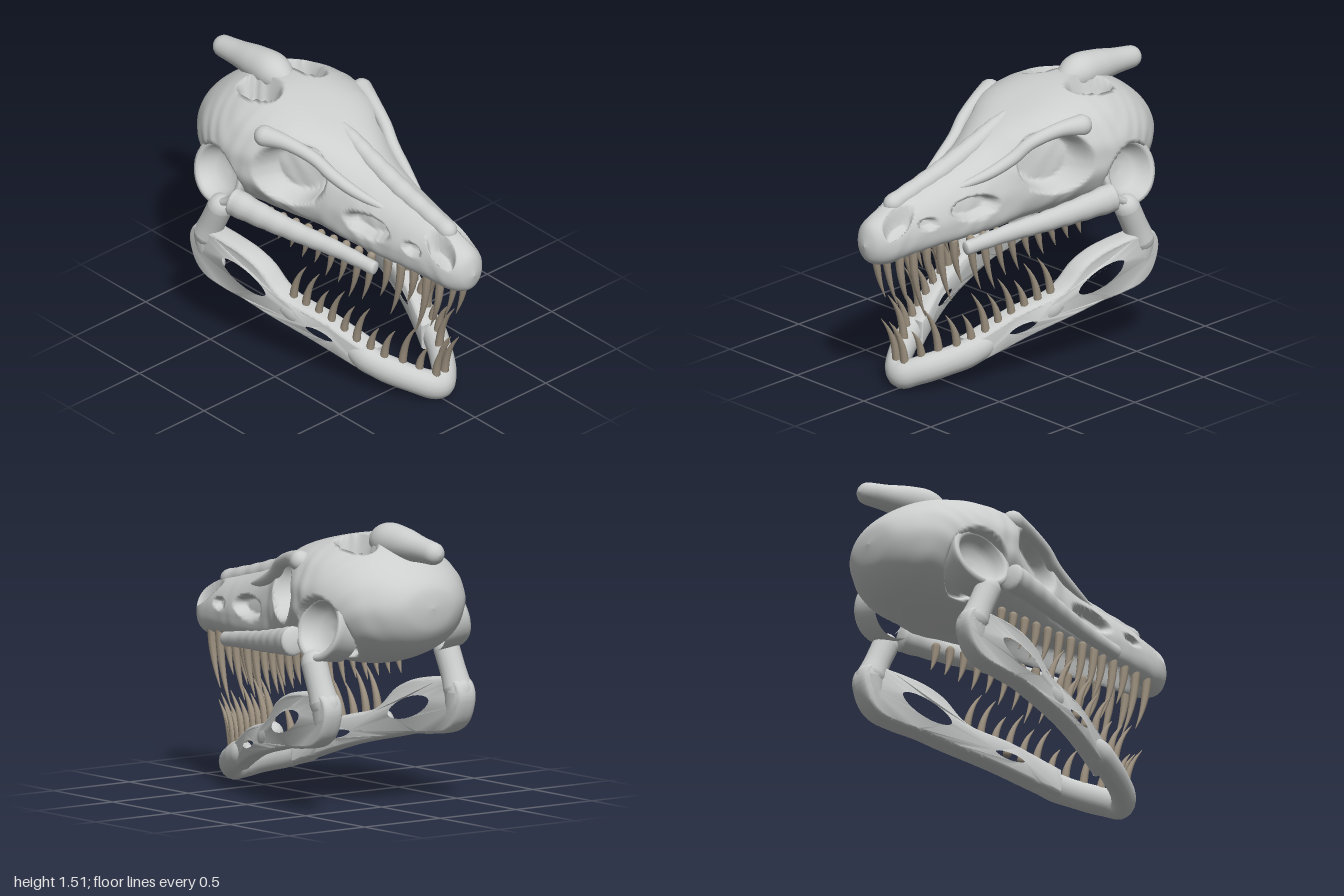
import * as THREE from 'three';
import { toCreasedNormals } from 'three/addons/utils/BufferGeometryUtils.js';

const bone = new THREE.MeshStandardMaterial({ name: 'bone grey', color: 0xcbcecd });
const ivory = new THREE.MeshStandardMaterial({ name: 'tooth brown', color: 0x9e9281 });
const V = (x, y, z) => new THREE.Vector3(x, y, z);
const clamp = THREE.MathUtils.clamp;

// Skin over a list of closed rings (arrays of Vector3)
function loft(rings) {
  const n = rings[0].length, pos = [], idx = [];
  rings.forEach(r => r.forEach(p => pos.push(p.x, p.y, p.z)));
  for (let i = 0; i < rings.length - 1; i++) {
    for (let j = 0; j < n; j++) {
      const a = i * n + j, b = i * n + (j + 1) % n;
      idx.push(a, a + n, b, b, a + n, b + n);
    }
  }
  const g = new THREE.BufferGeometry();
  g.setAttribute('position', new THREE.Float32BufferAttribute(pos, 3));
  g.setIndex(idx);
  g.computeVertexNormals();
  return g;
}

// Smooth interpolation through rows of numbers, t in 0..1
function sampleRows(rows, t) {
  const f = t * (rows.length - 1), i = Math.min(Math.floor(f), rows.length - 2), u = f - i;
  const row = k => rows[clamp(k, 0, rows.length - 1)];
  return rows[0].map((_, c) => {
    const a = row(i - 1)[c], b = row(i)[c], d = row(i + 1)[c], e = row(i + 2)[c];
    const m0 = (d - a) / 2, m1 = (e - b) / 2;
    return b + m0 * u + (3 * (d - b) - 2 * m0 - m1) * u * u + (2 * (b - d) + m0 + m1) * u * u * u;
  });
}

// Round-ended limb through points [x, y, z, radius]; flat narrows it sideways, cap flattens its ends
function limb(pts, { sides = 16, steps = 32, flat = 1, cap = 1, up = V(0, 1, 0), lump = 0, waves = 8 } = {}) {
  const rings = [];
  const ring = (t, ext, scale) => {
    const [x, y, z, r0] = sampleRows(pts, t);
    const r = Math.max(r0, 0.001) * (1 + lump * Math.sin(t * waves * 6.28));
    const p = sampleRows(pts, Math.max(0, t - 0.01)), q = sampleRows(pts, Math.min(1, t + 0.01));
    const T = V(q[0] - p[0], q[1] - p[1], q[2] - p[2]).normalize();
    const S = T.clone().cross(up).normalize(), U = S.clone().cross(T);
    const c = V(x, y, z).addScaledVector(T, ext * r * cap);
    rings.push(Array.from({ length: sides }, (_, j) => {
      const a = j / sides * Math.PI * 2;
      return c.clone().addScaledVector(S, Math.cos(a) * r * scale * flat).addScaledVector(U, Math.sin(a) * r * scale);
    }));
  };
  for (let k = 5; k > 0; k--) ring(0, -Math.sin(k * 0.314), Math.cos(k * 0.314));
  for (let i = 0; i <= steps; i++) ring(i / steps, 0, 1);
  for (let k = 1; k <= 5; k++) ring(1, Math.sin(k * 0.314), Math.cos(k * 0.314));
  return loft(rings);
}

// Cranium sections: z, half width, top, bottom, widest height, upper and lower roundness
const sections = [
  [1.0, 0, 0.87, 0.87, 0.87, 1, 1],
  [0.97, 0.075, 0.97, 0.78, 0.87, 1, 1],
  [0.9, 0.128, 1.02, 0.75, 0.88, 1, 0.9],
  [0.8, 0.148, 1.06, 0.76, 0.89, 1, 0.8],
  [0.6, 0.178, 1.11, 0.78, 0.9, 1.05, 0.65],
  [0.4, 0.205, 1.16, 0.78, 0.91, 1, 0.6],
  [0.2, 0.235, 1.23, 0.78, 0.94, 0.9, 0.65],
  [0.05, 0.28, 1.31, 0.78, 1.0, 0.75, 0.8],
  [-0.1, 0.36, 1.37, 0.78, 1.05, 0.66, 0.9],
  [-0.25, 0.42, 1.415, 0.77, 1.08, 0.78, 1],
  [-0.4, 0.452, 1.44, 0.76, 1.1, 0.93, 1],
  [-0.55, 0.44, 1.43, 0.77, 1.1, 1, 1],
  [-0.7, 0.388, 1.38, 0.81, 1.1, 1, 1],
  [-0.83, 0.29, 1.3, 0.87, 1.1, 1, 1],
  [-0.915, 0.17, 1.21, 0.97, 1.1, 1, 1],
  [-0.94, 0, 1.1, 1.1, 1.1, 1, 1],
];

// Hollows seen from the side: z, y, radius z, radius y, depth
const sideHollows = [
  [-0.08, 1.13, 0.19, 0.17, 0.14], [0.38, 0.97, 0.15, 0.06, 0.07],
  [0.68, 0.95, 0.055, 0.03, 0.04], [-0.52, 0.98, 0.17, 0.17, 0.13],
];
// Hollows seen from above: x, z, radius x, radius z, depth
const topHollows = [[0.16, -0.49, 0.08, 0.15, 0.13], [0.09, 0.84, 0.045, 0.1, 0.09]];

const dent = (du, dv) => 1 - THREE.MathUtils.smoothstep(Math.hypot(du, dv), 0.75, 1);

function craniumGeometry() {
  const rings = [], N = 170, M = 120;
  for (let i = 0; i <= N; i++) {
    const [z, w, top, bot, mid, eu, el] = sampleRows(sections, i / N), ring = [];
    for (let j = 0; j < M; j++) {
      const a = j / M * Math.PI * 2, c = Math.cos(a), s = Math.sin(a), e = s > 0 ? eu : el;
      const x = Math.max(w, 0) * Math.sign(c) * Math.abs(c) ** e;
      const y = mid + (s > 0 ? top - mid : bot - mid) * Math.abs(s) ** e;
      const p = V(x, y, z);
      // gentle bony unevenness
      p.x *= 1 + 0.01 * Math.sin(z * 31 + y * 17) * Math.sin(y * 27 + 3 * Math.cos(z * 13));
      for (const [hz, hy, rz, ry, d] of sideHollows) {
        p.x -= Math.sign(x) * Math.min(d, Math.abs(x) * 0.7) * dent((z - hz) / rz, (y - hy) / ry);
      }
      if (s > 0) {
        for (const [hx, hz, rx, rz, d] of topHollows) p.y -= d * dent((Math.abs(x) - hx) / rx, (z - hz) / rz);
      } else if (y < mid - 0.04) {
        // hollow palate
        p.y += 0.13 * dent(x / (Math.max(w, 0.01) * 0.8), (z - 0.38) / 0.5);
      }
      ring.push(p);
    }
    rings.push(ring);
  }
  return loft(rings);
}

// Rear jaw plate: side profile (z, y) with two windows, bent outward toward the hinge
function jawPlate(s) {
  const outline = [[0.2, 0.2], [0.04, 0.25], [-0.15, 0.295], [-0.28, 0.325], [-0.42, 0.34], [-0.55, 0.365],
    [-0.63, 0.43], [-0.67, 0.54], [-0.655, 0.62], [-0.6, 0.66], [-0.5, 0.65], [-0.4, 0.64], [-0.28, 0.615],
    [-0.17, 0.56], [-0.08, 0.47], [0, 0.425], [0.2, 0.37], [0.45, 0.25]];
  const shape = new THREE.Shape().moveTo(0.45, 0.1);
  shape.splineThru(outline.map(p => new THREE.Vector2(...p)));
  shape.holes.push(new THREE.Path().absellipse(-0.28, 0.47, 0.172, 0.07, 0, Math.PI * 2, true, -0.36));
  shape.holes.push(new THREE.Path().absellipse(0.18, 0.284, 0.098, 0.038, 0, Math.PI * 2, true, -0.26));
  const g = new THREE.ExtrudeGeometry(shape, { depth: 0.03, bevelThickness: 0.045, bevelSize: 0.018,
    bevelOffset: -0.018, bevelSegments: 4, curveSegments: 12 });
  const p = g.attributes.position;
  for (let i = 0; i < p.count; i++) {
    const z = p.getX(i);
    p.setXYZ(i, s * (0.35 - 0.27 * z - 0.2 * z * z) - (p.getZ(i) - 0.015), p.getY(i), z);
  }
  g.deleteAttribute('uv');
  return toCreasedNormals(g, 1);
}

export function createModel() {
  const model = new THREE.Group();
  const add = (name, geo, mat = bone) => {
    const m = new THREE.Mesh(geo, mat);
    m.name = name;
    model.add(m);
    return m;
  };

  add('cranium', craniumGeometry());
  add('snoutRidge', limb([[0, 1.055, 0.79, 0.05], [0, 1.1, 0.6, 0.05], [0, 1.15, 0.4, 0.055],
    [0, 1.22, 0.2, 0.05], [0, 1.285, 0.05, 0.04], [0, 1.325, -0.06, 0.025]],
  { steps: 70, lump: 0.03, waves: 9 }));
  add('crestHorn', limb([[0, 1.37, -0.46, 0.06], [0, 1.41, -0.55, 0.096], [0, 1.41, -0.68, 0.09],
    [0, 1.4, -0.82, 0.07], [0, 1.39, -0.94, 0.06]], { sides: 24 }));

  // Front of the lower jaw, one V-shaped bar across both sides
  const arm = [[0.08, 0.105, 0.675, 0.076], [0.19, 0.16, 0.5, 0.077], [0.235, 0.2, 0.385, 0.074],
    [0.26, 0.225, 0.3, 0.035]];
  add('jawFront', limb([...arm.map(([x, ...r]) => [-x, ...r]).reverse(), [0, 0.078, 0.73, 0.077], ...arm],
    { flat: 0.85, steps: 64, lump: 0.015 }));

  for (const s of [1, -1]) {
    const side = s > 0 ? 'left' : 'right';
    const part = (name, pts, opt) => add(side + name, limb(pts.map(([x, ...r]) => [x * s, ...r]), opt));

    // Brow, cheek and ear
    part('BrowRidge', [[0.12, 1.075, 0.44, 0.015], [0.175, 1.12, 0.27, 0.03], [0.215, 1.18, 0.13, 0.035],
      [0.25, 1.25, 0.03, 0.035], [0.3, 1.295, -0.12, 0.04], [0.342, 1.3, -0.25, 0.058]]);
    part('CheekBar', [[0.253, 0.793, 0.5, 0.038], [0.3, 0.82, 0.27, 0.046], [0.365, 0.845, 0.05, 0.055],
      [0.425, 0.875, -0.16, 0.066], [0.468, 0.902, -0.35, 0.079]],
    { steps: 60, cap: 0.3, flat: 0.88, lump: 0.025 });
    const cup = [[0.155, -0.12], [0.173, 0], [0.179, 0.025], [0.173, 0.04], [0.155, 0.042], [0.14, 0.03],
      [0.13, -0.01], [0.1, -0.045], [0.05, -0.062], [0.001, -0.066]];
    const ear = add(side + 'EarSocket', new THREE.LatheGeometry(cup.map(p => new THREE.Vector2(...p)), 40));
    ear.position.set(0.395 * s, 0.98, -0.52);
    ear.rotation.z = -s * (Math.PI / 2 - 0.27);

    // Rear of the lower jaw
    add(side + 'JawPlate', jawPlate(s));
    part('JawMiddle', [[0.335, 0.33, 0.04, 0.066], [0.35, 0.345, 0, 0.073], [0.362, 0.365, -0.04, 0.068]],
      { flat: 0.85 });
    part('JawCorner', [[0.425, 0.43, -0.54, 0.055], [0.435, 0.5, -0.58, 0.07], [0.437, 0.585, -0.59, 0.08]],
      { up: V(0, 0, 1), flat: 0.9 });
    part('JawHinge', [[0.44, 0.6, -0.58, 0.078], [0.44, 0.68, -0.545, 0.07], [0.437, 0.8, -0.49, 0.07]],
      { up: V(0, 0, 1) });

    // Curved teeth: base position, length (signed) and forward lean
    const tooth = (name, x, y, z, len, lean, r) => add(side + name, limb([
      [x * s, y, z, r], [x * s, y + len * 0.35, z + lean * 0.15, r * 0.85],
      [x * s, y + len * 0.7, z + lean * 0.5, r * 0.5], [x * s, y + len, z + lean, 0.002],
    ], { sides: 8, steps: 8, up: V(0, 0, 1) }), ivory);

    const upperLengths = [0.31, 0.39, 0.22, 0.34, 0.25, 0.3, 0.32, 0.26, 0.25, 0.2, 0.2, 0.17, 0.15, 0.14];
    upperLengths.forEach((len, i) => {
      const x = i < 5 ? 0.09 + i * 0.014 : 0.188 + (i - 5) * 0.0115;
      tooth('UpperTooth' + (i + 1), x, 0.8, 0.83 - i * 0.085, -len, -len * 0.24, 0.024);
    });
    const lowerLengths = [0.27, 0.17, 0.28, 0.2, 0.16, 0.25, 0.2, 0.25, 0.19, 0.25, 0.24];
    const lowerX = [0.03, 0.08, 0.13, 0.19, 0.22, 0.25, 0.27, 0.292, 0.313, 0.334, 0.352];
    lowerLengths.forEach((len, i) => {
      const t = i / 10;
      tooth('LowerTooth' + (i + 1), lowerX[i], 0.14 + t * 0.27, 0.73 - t * 0.75, len, len * 0.42, 0.023);
    });
  }
  return model;
}
